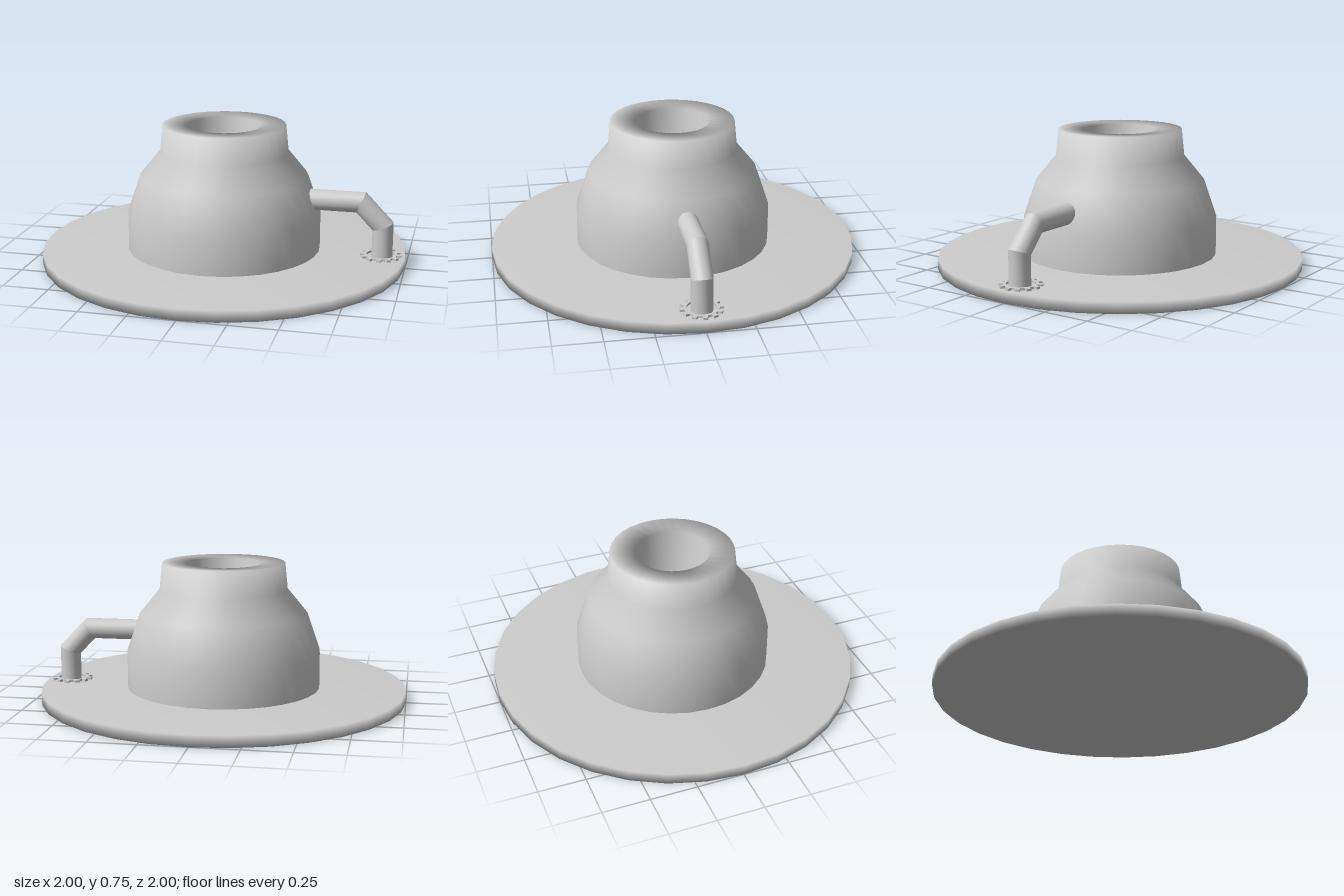
import * as THREE from 'three';

const material = new THREE.MeshStandardMaterial({ color: 0xcccccc, side: THREE.DoubleSide });

function addPart(group, name, geometry) {
  const mesh = new THREE.Mesh(geometry, material);
  mesh.name = name;
  group.add(mesh);
  return mesh;
}

// Revolved profile given as [radius, height] pairs
function revolve(profile) {
  return new THREE.LatheGeometry(profile.map(([r, y]) => new THREE.Vector2(r, y)), 32);
}

// Pipe in the z = 0 plane with mitred bends; each straight run has its own smooth normals
function mitredPipe(path, radius, sides) {
  const points = path.map(([x, y]) => new THREE.Vector2(x, y));
  const normalOf = (a, b) => new THREE.Vector2(a.y - b.y, b.x - a.x).normalize();
  const rings = points.map((p, i) => {
    const before = i > 0 ? normalOf(points[i - 1], p) : normalOf(p, points[1]);
    const after = i < points.length - 1 ? normalOf(p, points[i + 1]) : before;
    const mitre = before.clone().add(after).normalize();
    const stretch = radius / mitre.dot(before);
    return Array.from({ length: sides }, (_, k) => {
      const a = (k / sides) * Math.PI * 2;
      const c = Math.cos(a) * stretch;
      return [p.x + mitre.x * c, p.y + mitre.y * c, Math.sin(a) * radius];
    });
  });
  const positions = [], index = [];
  for (let i = 0; i < rings.length - 1; i++) {
    const base = positions.length / 3;
    positions.push(...rings[i].flat(), ...rings[i + 1].flat());
    for (let k = 0; k < sides; k++) {
      const a = base + k, b = base + (k + 1) % sides;
      index.push(a, a + sides, b, b, a + sides, b + sides);
    }
  }
  const geometry = new THREE.BufferGeometry();
  geometry.setAttribute('position', new THREE.Float32BufferAttribute(positions, 3));
  geometry.setIndex(index);
  geometry.computeVertexNormals();
  return geometry;
}

// Thin toothed ring lying flat
function toothedRing(root, tip, hole, teeth, height) {
  const shape = new THREE.Shape();
  const step = (Math.PI * 2) / teeth;
  for (let i = 0; i < teeth; i++) {
    [[-0.28, root], [-0.2, tip], [0.2, tip], [0.28, root]].forEach(([t, r], k) => {
      const a = (i + t) * step;
      shape[i + k === 0 ? 'moveTo' : 'lineTo'](r * Math.cos(a), r * Math.sin(a));
    });
  }
  shape.closePath();
  shape.holes.push(new THREE.Path().absarc(0, 0, hole, 0, Math.PI * 2, true));
  return new THREE.ExtrudeGeometry(shape, { depth: height, bevelEnabled: false, curveSegments: 16 })
    .rotateX(-Math.PI / 2);
}

export function createModel() {
  const model = new THREE.Group();
  model.name = 'model';

  // Wide flat base
  addPart(model, 'basePlate', revolve([[0, 0], [1, 0], [1, 0.06], [0, 0.06]]));

  // Stepped dome with a thick rim and a round well
  addPart(model, 'body', revolve([
    [0.53, 0.05], [0.53, 0.26], [0.46, 0.465], [0.35, 0.6], [0.335, 0.745],
    [0.2, 0.74], [0.2, 0.08], [0, 0.08],
  ]));

  // Side pipe bending down to the plate
  addPart(model, 'sidePipe',
    mitredPipe([[0.42, 0.355], [0.755, 0.355], [0.875, 0.23], [0.875, 0.05]], 0.056, 24));

  // Toothed collar at the foot of the pipe
  const collar = addPart(model, 'pipeCollar', toothedRing(0.09, 0.111, 0.075, 12, 0.022));
  collar.position.set(0.868, 0.05, 0);

  return model;
}
